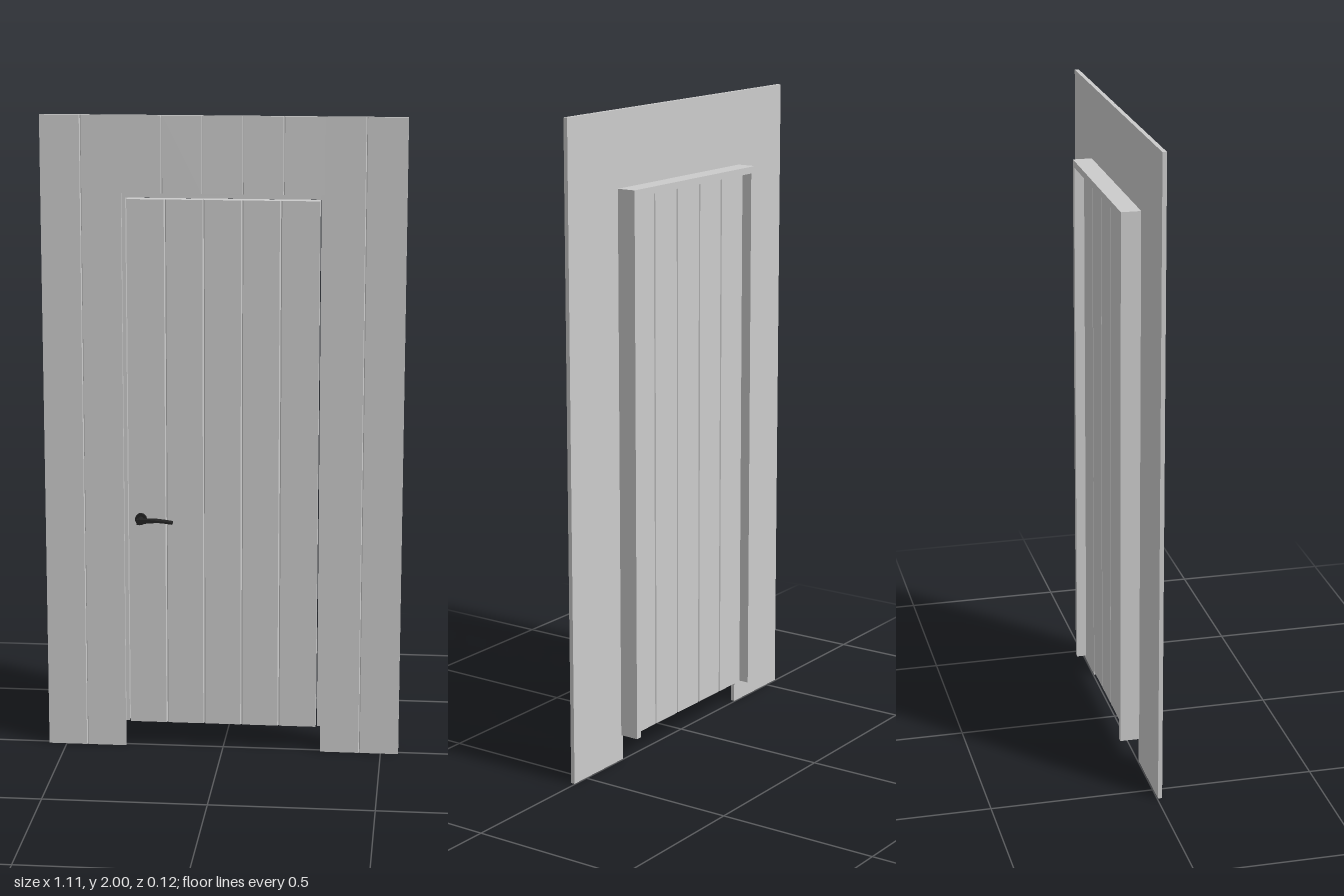
import * as THREE from 'three';

const grey = new THREE.MeshStandardMaterial({ color: 0xcccccc });
const dark = new THREE.MeshStandardMaterial({ color: 0x222222 });

function add(parent, name, geometry, material = grey) {
  const mesh = new THREE.Mesh(geometry, material);
  mesh.name = name;
  parent.add(mesh);
  return mesh;
}

// Plank panel: a cross-section with V-grooves at the board joints, extruded upward
function plankPanel({ x0, x1, y0, y1, zBack, zFront, boards, groove, bothSides }) {
  const pitch = (x1 - x0) / boards;
  const face = (z, inward) => {
    const points = [[x0, z]];
    for (let i = 1; i < boards; i++) {
      const x = x0 + i * pitch;
      points.push([x - groove / 2, z], [x, z + inward], [x + groove / 2, z]);
    }
    points.push([x1, z]);
    return points;
  };
  const front = face(zFront, -groove);
  const back = bothSides ? face(zBack, groove) : [[x0, zBack], [x1, zBack]];
  const outline = [...front, ...back.reverse()].map(([x, z]) => new THREE.Vector2(x, -z));
  const geometry = new THREE.ExtrudeGeometry(new THREE.Shape(outline), { depth: y1 - y0, bevelEnabled: false });
  return geometry.rotateX(-Math.PI / 2).translate(0, y0, 0);
}

function box(x0, x1, y0, y1, z0, z1) {
  return new THREE.BoxGeometry(x1 - x0, y1 - y0, z1 - z0)
    .translate((x0 + x1) / 2, (y0 + y1) / 2, (z0 + z1) / 2);
}

function createHandle() {
  const handle = new THREE.Group();
  handle.name = 'handle';
  const disc = (radius, z0, z1) => new THREE.CylinderGeometry(radius, radius, z1 - z0, 28)
    .rotateX(Math.PI / 2).translate(0, 0, (z0 + z1) / 2);
  add(handle, 'rosette', disc(0.018, 0, 0.011), dark);
  add(handle, 'neck', disc(0.009, 0.01, 0.048), dark);

  // Lever: a bar bent and tapered along its length
  const length = 0.112;
  const lever = new THREE.BoxGeometry(length, 1, 1, 16, 1, 1);
  const p = lever.attributes.position;
  for (let i = 0; i < p.count; i++) {
    const t = p.getX(i) / length + 0.5;
    const swell = Math.sin(Math.PI * Math.min(1, Math.max(0, (t - 0.15) / 1.1)));
    const depth = 0.018 + 0.008 * swell;
    const thickness = 0.016 - 0.01 * Math.min(1, t * 1.5);
    const rise = 0.004 * Math.sin(Math.PI * t) - 0.002 * t;
    p.setXYZ(i, t * length - 0.009, rise + p.getY(i) * thickness, 0.048 - (0.5 - p.getZ(i)) * depth);
  }
  lever.computeVertexNormals();
  add(handle, 'lever', lever, dark);
  handle.position.set(-0.256, 0.747, 0.007);
  return handle;
}

export function createModel() {
  const model = new THREE.Group();
  model.name = 'doorInWall';

  // Planked wall around the opening
  const wall = new THREE.Group();
  wall.name = 'wall';
  model.add(wall);
  const half = 0.556, opening = 0.309, openingTop = 1.765;
  const skin = { zBack: 0, zFront: 0.013, groove: 0.005 };
  add(wall, 'wallRight', plankPanel({ ...skin, x0: -half, x1: -opening, y0: 0, y1: 2, boards: 2 }));
  add(wall, 'wallLeft', plankPanel({ ...skin, x0: opening, x1: half, y0: 0, y1: 2, boards: 2 }));
  add(wall, 'wallAbove', plankPanel({ ...skin, x0: -opening, x1: opening, y0: openingTop, y1: 2, boards: 5 }));

  // Door frame behind the wall
  const frame = new THREE.Group();
  frame.name = 'frame';
  model.add(frame);
  const outer = 0.318, inner = 0.298, bottom = 0.08, headY = 1.75, top = 1.771;
  add(frame, 'jambRight', box(-outer, -inner, bottom, top, -0.06, 0));
  add(frame, 'jambLeft', box(inner, outer, bottom, top, -0.06, 0));
  add(frame, 'head', box(-inner, inner, headY, top, -0.06, 0));

  // Planked door leaf, grooved on both faces
  add(model, 'doorLeaf', plankPanel({
    x0: -0.294, x1: 0.294, y0: bottom, y1: 1.746, zBack: -0.03, zFront: 0.007,
    boards: 5, groove: 0.007, bothSides: true,
  }));

  model.add(createHandle());

  // Centre the depth on z = 0
  const bounds = new THREE.Box3().setFromObject(model);
  model.position.z = -(bounds.min.z + bounds.max.z) / 2;
  return model;
}
